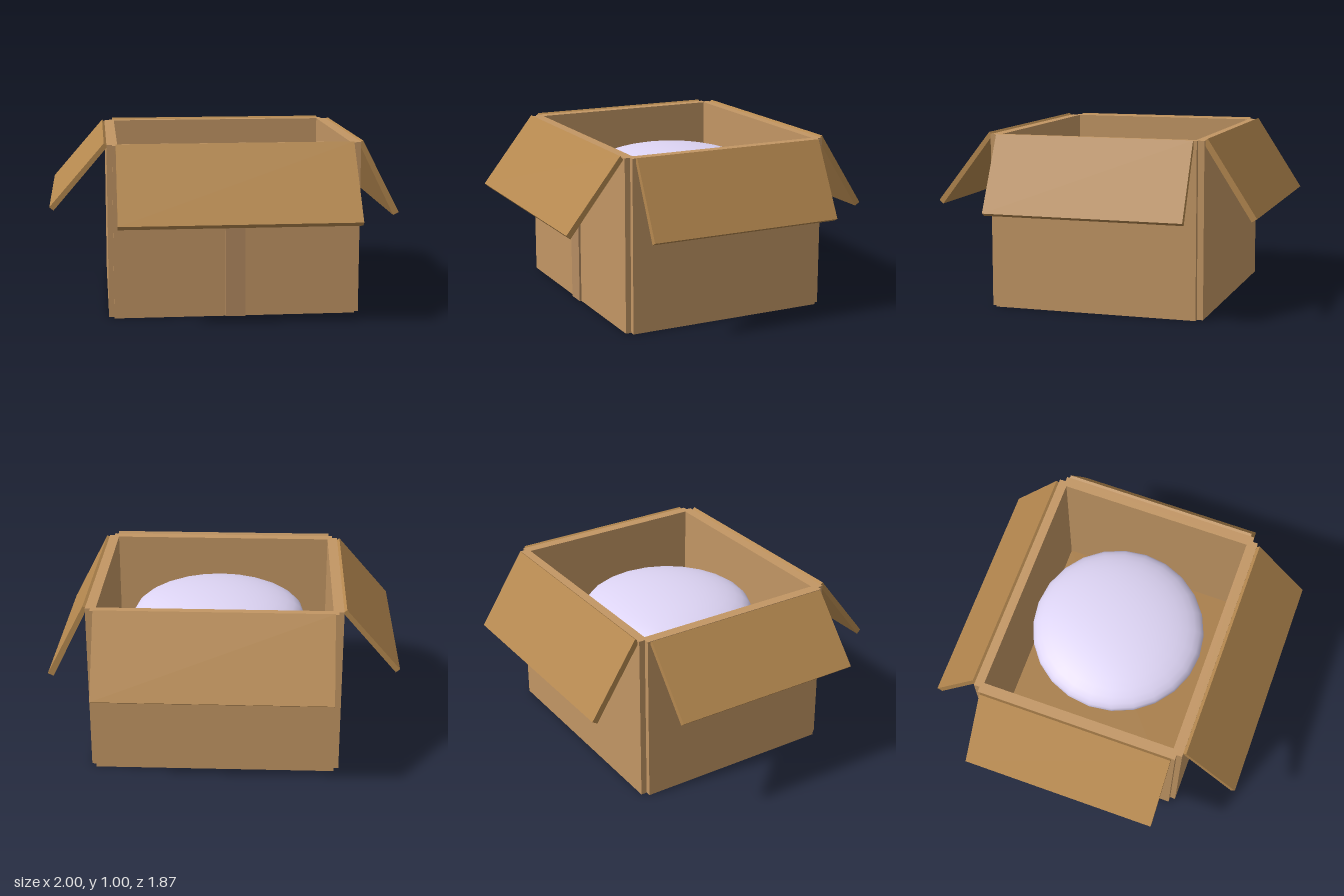
import * as THREE from 'three';

const mat = (color) => new THREE.MeshStandardMaterial({ color });
const wallMat = mat(0xc29664), flapMat = mat(0xb5884f), floorMat = mat(0xa87e4a);
const tapeMat = mat(0xb58c62), labelMat = mat(0xc8506a), cushionMat = mat(0xded5f5);

// Box given by its min and max corners
function block(name, [x0, y0, z0], [x1, y1, z1], material) {
  const mesh = new THREE.Mesh(new THREE.BoxGeometry(x1 - x0, y1 - y0, z1 - z0), material);
  mesh.position.set((x0 + x1) / 2, (y0 + y1) / 2, (z0 + z1) / 2);
  mesh.name = name;
  return mesh;
}

// Slab whose profile (outward distance, height) is extruded to a width, facing `angle` about y
function flap(name, profile, width, angle, along) {
  const shape = new THREE.Shape(profile.map(([d, y]) => new THREE.Vector2(d, y)));
  const geo = new THREE.ExtrudeGeometry(shape, { depth: width, bevelEnabled: false });
  geo.translate(0, 0, -width / 2);
  const mesh = new THREE.Mesh(geo, flapMat);
  mesh.rotation.y = angle;
  mesh.position.set(along.x || 0, 0, along.z || 0);
  mesh.name = name;
  return mesh;
}

export function createModel() {
  const g = new THREE.Group();
  g.name = 'openBox';
  const H = 0.99, cx = 0.045, cz = -0.023;

  // Walls, leaving a small notch at each corner
  g.add(block('frontWall', [-0.645, 0, 0.54], [0.735, H, 0.6], wallMat));
  g.add(block('backWall', [-0.645, 0, -0.645], [0.735, H, -0.593], wallMat));
  g.add(block('rightWall', [-0.675, 0, -0.61], [-0.615, H, 0.568], wallMat));
  g.add(block('leftWall', [0.705, 0, -0.61], [0.765, H, 0.568], wallMat));

  // Floor
  g.add(block('floor', [-0.62, 0.003, -0.6], [0.71, 0.06, 0.545], floorMat));

  // Folded-out flaps, each hanging from its wall's top edge
  g.add(flap('frontFlap', [[0.598, 0.98], [0.912, 0.575], [0.935, 0.597], [0.617, 1.0]],
    1.34, -Math.PI / 2, { x: cx }));
  g.add(flap('backFlap', [[0.632, 0.98], [0.905, 0.555], [0.935, 0.573], [0.658, 1.0]],
    1.34, Math.PI / 2, { x: cx }));
  g.add(flap('leftFlap', [[0.755, 0.983], [0.965, 0.56], [0.997, 0.577], [0.78, 0.995]],
    1.14, 0, { z: cz }));
  g.add(flap('rightFlap', [[0.668, 0.98], [0.977, 0.62], [1.0, 0.64], [0.69, 0.997]],
    1.14, Math.PI, { z: cz }));

  // Tape strip and small label under the front flap
  g.add(block('tape', [-0.01, 0, 0.598], [0.102, 0.97, 0.612], tapeMat));
  g.add(block('label', [-0.012, 0.58, 0.598], [0.104, 0.69, 0.615], labelMat));

  // Round cushion inside
  const cushion = new THREE.Mesh(new THREE.SphereGeometry(0.51, 24, 20), cushionMat);
  cushion.scale.y = 0.3;
  cushion.position.set(cx, 0.72, -0.025);
  cushion.name = 'cushion';
  g.add(cushion);

  return g;
}
